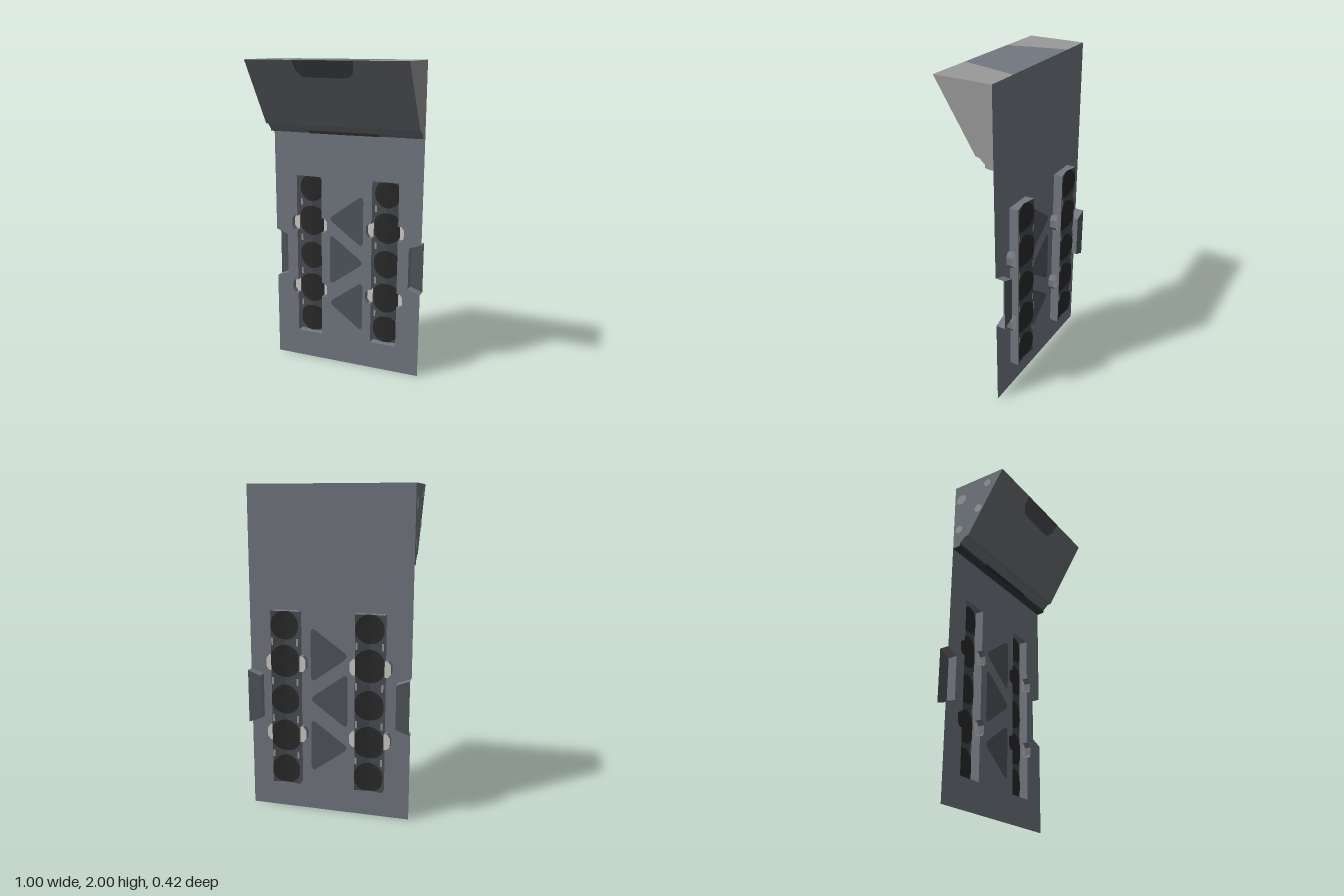
import * as THREE from 'three';

const colours = {
  panelGrey: 0x727880, canopyGrey: 0x6f7378, lightGrey: 0x999999, markGrey: 0x50565b,
  troughGrey: 0x464b50, black: 0x2a2a2a, cream: 0xcfcdc6, patchGrey: 0x4d4f53, trimDark: 0x383b3e,
};
const mat = {};
for (const [name, hex] of Object.entries(colours)) {
  mat[name] = new THREE.MeshStandardMaterial({ color: hex, side: THREE.DoubleSide });
  mat[name].name = name;
}

const WALL = -0.15, STEP = -0.19, BACK = -0.208; // depths of panel, pockets, recesses
const HALF = 0.087, Y0 = 0.18, Y1 = 1.265; // trough half width and ends

function add(parent, name, geometry, material) {
  const mesh = new THREE.Mesh(geometry, mat[material]);
  mesh.name = name;
  parent.add(mesh);
  return mesh;
}

// Flat-shaded geometry from a list of polygons, each fanned from its first corner
function faces(polys) {
  const pos = [];
  for (const p of polys)
    for (let i = 1; i < p.length - 1; i++) pos.push(...p[0], ...p[i], ...p[i + 1]);
  const g = new THREE.BufferGeometry();
  g.setAttribute('position', new THREE.Float32BufferAttribute(pos, 3));
  g.computeVertexNormals();
  return g;
}

// Walls from z = top down to each point's own depth
function walls(points, top, depth, closed = true) {
  const polys = [];
  for (let i = 0; i < points.length - (closed ? 0 : 1); i++) {
    const a = points[i], b = points[(i + 1) % points.length];
    polys.push([[a[0], a[1], top], [b[0], b[1], top],
      [b[0], b[1], b[2] ?? depth], [a[0], a[1], a[2] ?? depth]]);
  }
  return faces(polys);
}

const toShape = (pts) => new THREE.Shape(pts.map(([x, y]) => new THREE.Vector2(x, y)));
const shift = (pts, dx) => pts.map(([x, y]) => [x + dx, y]);
const mirror = (pts) => pts.map(([x, y]) => [-x, y]);

// Chamfered bump at the trough edge
const bump = (c) => [[HALF, c - 0.048], [0.108, c - 0.048], [0.125, c - 0.025],
  [0.125, c + 0.025], [0.108, c + 0.048], [HALF, c + 0.048]];
const pocketHeights = [0.5, 0.945];
const edge = [[HALF, Y0], ...pocketHeights.flatMap(bump), [HALF, Y1]];
const ring = [...edge, ...mirror(edge).reverse()];

// Edge notch, cut inward from the side of the panel
const notch = [[0.5, 0.56], [0.42, 0.59], [0.42, 0.86], [0.5, 0.89]];

// Triangle with rounded corners, pointing along dir
function triangle(cy, dir) {
  const c = [[0.125, 0], [-0.115, 0.175], [-0.115, -0.175]]
    .map(([x, y]) => new THREE.Vector2(x * dir, y + cy));
  const s = new THREE.Shape();
  c.forEach((p, i) => {
    const a = p.clone().lerp(c[(i + 2) % 3], 0.14), b = p.clone().lerp(c[(i + 1) % 3], 0.14);
    if (i) s.lineTo(a.x, a.y); else s.moveTo(a.x, a.y);
    s.quadraticCurveTo(p.x, p.y, b.x, b.y);
  });
  s.closePath();
  return s;
}

// Ridged trough with discs, edge slots and side pockets
function makeTrough(cx) {
  const g = new THREE.Group();
  g.name = 'trough';
  add(g, 'troughWall', walls(ring, WALL, STEP), 'panelGrey');
  const rim = [[-HALF, Y0, BACK], [0, Y0, STEP], [HALF, Y0, BACK],
    [HALF, Y1, BACK], [0, Y1, STEP], [-HALF, Y1, BACK]];
  add(g, 'troughLowerWall', walls(rim, STEP, BACK), 'panelGrey');
  add(g, 'troughFloor', faces([-1, 1].map((s) => [[0, Y0, STEP], [s * HALF, Y0, BACK],
    [s * HALF, Y1, BACK], [0, Y1, STEP]])), 'troughGrey');
  const floorZ = (x) => STEP + (BACK - STEP) * Math.abs(x) / HALF;
  const discs = [[0.27, 0.092], [0.49, 0.1], [0.72, 0.092], [0.96, 0.1], [1.18, 0.088]];
  for (const off of [-0.002, 0.002]) {
    for (const [y, r] of discs) {
      const geo = new THREE.CircleGeometry(r, 24);
      const p = geo.attributes.position;
      for (let i = 0; i < p.count; i++) {
        const x = THREE.MathUtils.clamp(p.getX(i), -HALF, HALF);
        p.setXYZ(i, x, THREE.MathUtils.clamp(p.getY(i) + y, Y0, Y1), floorZ(x) + off);
      }
      geo.computeVertexNormals();
      add(g, 'disc', geo, 'black');
    }
    for (const y of [0.37, 0.6, 0.835, 1.08])
      for (const s of [-1, 1]) {
        const slot = add(g, 'edgeSlot', new THREE.PlaneGeometry(0.012, 0.045), 'lightGrey');
        slot.position.set(s * 0.078, y, floorZ(0.078) + off * 1.5);
      }
  }
  for (const c of pocketHeights)
    for (const pts of [bump(c), mirror(bump(c)).reverse()])
      add(g, 'pocketFloor', new THREE.ShapeGeometry(toShape(pts)), 'cream').position.z = STEP;
  g.position.x = cx;
  return g;
}

// Overhanging canopy built from its side profile (z, y)
function makeCanopy() {
  const g = new THREE.Group();
  g.name = 'canopy';
  const profile = [[WALL, 2], [0.205, 2], [-0.04, 1.605], [-0.065, 1.6], [-0.1, 1.568],
    [-0.098, 1.552], [-0.13, 1.547], [WALL, 1.547]];
  const strip = (i) => {
    const [a, b] = [profile[i], profile[i + 1]];
    return [[-0.5, a[1], a[0]], [-0.5, b[1], b[0]], [0.5, b[1], b[0]], [0.5, a[1], a[0]]];
  };
  add(g, 'canopyFront', faces([1, 2, 3].map(strip)), 'canopyGrey');
  add(g, 'canopyLowerTrim', faces([4, 5, 6].map(strip)), 'trimDark');
  const side = (x) => faces([profile.map(([z, y]) => [x, y, z])]);
  add(g, 'canopyLeftSide', side(0.5), 'lightGrey');
  add(g, 'canopyRightSide', side(-0.5), 'panelGrey');

  // Top: tapered centre band with light corners
  add(g, 'topBand', faces([[[-0.3, 2, WALL], [-0.215, 2, 0.205],
    [0.215, 2, 0.205], [0.3, 2, WALL]]]), 'panelGrey');
  add(g, 'topCorners', faces([-1, 1].map((s) => [[s * 0.5, 2, WALL], [s * 0.3, 2, WALL],
    [s * 0.215, 2, 0.205], [s * 0.5, 2, 0.205]])), 'lightGrey');

  // Dark patch lying on the sloped front
  const outline = [[-0.195, 2], [-0.185, 1.945], [-0.155, 1.908], [-0.1, 1.903],
    [0.1, 1.903], [0.145, 1.91], [0.17, 1.945], [0.178, 2]];
  add(g, 'frontPatch', faces([outline.map(([x, y]) =>
    [x, y - 0.002, 0.205 - (2 - y) * 0.62 + 0.002])]), 'patchGrey');

  // Slim lamp under the lower edge
  add(g, 'lamp', new THREE.BoxGeometry(0.46, 0.016, 0.009), 'black').position.set(0, 1.558, -0.097);

  // Light spots on one side, as [z, y, radius]
  for (const [z, y, r] of [[0.095, 1.94, 0.024], [-0.1, 1.89, 0.035],
    [0.03, 1.775, 0.027], [-0.11, 1.67, 0.027]]) {
    const spot = add(g, 'sideSpot', new THREE.CircleGeometry(r, 12), 'lightGrey');
    spot.rotation.y = -Math.PI / 2;
    spot.position.set(-0.503, y, z);
  }
  return g;
}

export function createModel() {
  const model = new THREE.Group();
  model.name = 'wallPanel';

  // Panel with openings for troughs, markers and edge notches
  const panel = toShape([[-0.5, 0], [0.5, 0], ...notch, [0.5, 2], [-0.5, 2],
    ...mirror(notch).reverse()]);
  const troughX = [-0.26, 0.26];
  const markers = [triangle(0.42, -1), triangle(0.72, 1), triangle(0.997, -1)];
  for (const x of troughX) panel.holes.push(toShape(shift(ring, x)));
  panel.holes.push(...markers);
  add(model, 'panel', new THREE.ShapeGeometry(panel), 'panelGrey').position.z = WALL;
  for (const m of markers)
    add(model, 'triangleMarker', new THREE.ShapeGeometry(m), 'markGrey').position.z = WALL;

  for (const x of troughX) model.add(makeTrough(x));

  // Recessed grips open at the panel's edges
  for (const pts of [notch, mirror(notch).reverse()]) {
    add(model, 'gripWall', walls(pts, WALL, BACK, false), 'panelGrey');
    add(model, 'gripFloor', new THREE.ShapeGeometry(toShape(pts)), 'markGrey').position.z = BACK;
  }

  model.add(makeCanopy());
  return model;
}
